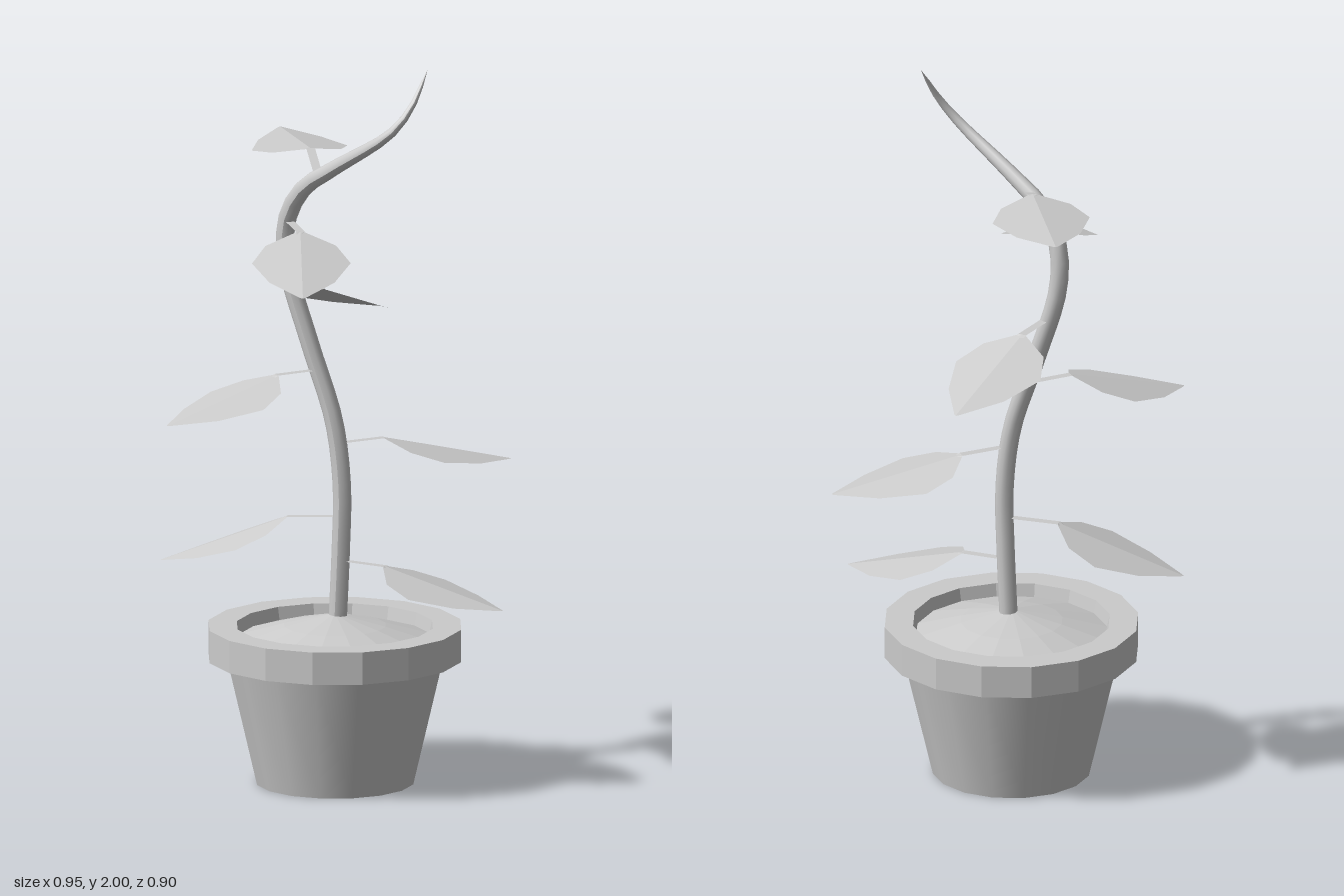
import * as THREE from 'three';

const smooth = new THREE.MeshStandardMaterial({ color: 0xcccccc });
const flat = new THREE.MeshStandardMaterial({ color: 0xcccccc, flatShading: true });
const thin = new THREE.MeshStandardMaterial({ color: 0xcccccc, flatShading: true, side: THREE.DoubleSide });
const SIDES = 16;

function add(parent, name, geometry, material) {
  const mesh = new THREE.Mesh(geometry, material);
  mesh.name = name;
  parent.add(mesh);
  return mesh;
}

const lathe = (pairs) =>
  new THREE.LatheGeometry(pairs.map(([r, y]) => new THREE.Vector2(r, y)), SIDES, Math.PI / SIDES);

// Tapered pot with a heavy faceted rim and a low mound of soil
function createPot() {
  const pot = new THREE.Group();
  pot.name = 'pot';
  pot.position.set(-0.015, 0, 0.026);
  add(pot, 'potBody', lathe([[0.216, 0], [0.297, 0.345]]), smooth);
  const base = add(pot, 'potBottom', new THREE.CircleGeometry(0.216, SIDES, Math.PI / SIDES), smooth);
  base.rotation.x = Math.PI / 2;
  add(pot, 'rim', lathe([[0.25, 0.345], [0.348, 0.345], [0.348, 0.435], [0.27, 0.435], [0.258, 0.38]]), flat);
  add(pot, 'soil', lathe([[0.268, 0.398], [0.14, 0.435], [0, 0.468]]), flat);
  return pot;
}

const stemCurve = new THREE.CatmullRomCurve3([
  [-0.01, 0.43, 0.02], [0, 0.65, 0.02], [0.003, 0.82, 0.02], [-0.02, 1.0, 0.02], [-0.09, 1.21, 0.02],
  [-0.157, 1.43, 0.02], [-0.155, 1.55, 0.025], [-0.1, 1.645, 0.045], [0, 1.715, 0.07],
  [0.18, 1.835, 0.1], [0.228, 1.905, 0.075], [0.253, 2.0, 0.02],
].map((p) => new THREE.Vector3(...p)));

// Round stem, thinning to a point over its last third
function createStem() {
  const segments = 36, radial = 10;
  const geometry = new THREE.TubeGeometry(stemCurve, segments, 0.025, radial);
  const pos = geometry.attributes.position;
  const v = new THREE.Vector3();
  for (let i = 0; i <= segments; i++) {
    const t = i / segments;
    const taper = t < 0.68 ? 1 : Math.pow((1 - t) / 0.32, 0.6);
    const center = stemCurve.getPointAt(t);
    for (let j = 0; j <= radial; j++) {
      const k = i * (radial + 1) + j;
      v.fromBufferAttribute(pos, k).sub(center).multiplyScalar(taper).add(center);
      pos.setXYZ(k, v.x, v.y, v.z);
    }
  }
  geometry.computeVertexNormals();
  return geometry;
}

// Folded strip: each station is [center, half width, droop of the edges]
function strip(stations, across) {
  const points = [], index = [];
  for (const [c, w, droop] of stations) {
    for (const s of [-1, 0, 1]) {
      const p = c.clone().addScaledVector(across, s * w);
      p.y -= Math.abs(s) * droop;
      points.push(p);
    }
  }
  for (let i = 0; i < stations.length - 1; i++) {
    for (let s = 0; s < 2; s++) {
      const a = i * 3 + s;
      index.push(a, a + 1, a + 3, a + 1, a + 4, a + 3);
    }
  }
  const geometry = new THREE.BufferGeometry().setFromPoints(points);
  geometry.setIndex(index);
  geometry.computeVertexNormals();
  return geometry;
}

// Leaf outline as [distance along the midrib, half width]
const OUTLINE = [[0, 0.012], [0.13, 0.096], [0.36, 0.134], [0.69, 0.088], [0.98, 0.009], [1, 0.002]];

function createLeaf(root, base, tip) {
  const leaf = new THREE.Group();
  leaf.name = 'leaf';
  const [r, b, t] = [root, base, tip].map((p) => new THREE.Vector3(...p));
  const sideways = (from, to) => new THREE.Vector3(to.z - from.z, 0, from.x - to.x).normalize();
  const blade = OUTLINE.map(([k, w]) => [b.clone().lerp(t, k), w, w * 0.16]);
  add(leaf, 'blade', strip(blade, sideways(b, t)), thin);
  const inner = b.clone().lerp(t, 0.04);
  add(leaf, 'leafStalk', strip([[r, 0.012, 0], [b, 0.012, 0], [inner, 0.01, 0.003]], sideways(r, b)), thin);
  return leaf;
}

// Where each leaf leaves the stem, where its blade starts, and its tip
const LEAVES = [
  [[0, 0.615, 0.02], [0.13, 0.61, 0.025], [0.475, 0.515, 0.03]],
  [[0, 0.737, 0.02], [-0.145, 0.732, 0.05], [-0.478, 0.602, 0.137]],
  [[0, 0.942, 0.02], [0.085, 0.942, -0.083], [0.367, 0.86, -0.308]],
  [[-0.065, 1.14, 0.02], [-0.147, 1.14, 0.124], [-0.355, 1.04, 0.405]],
  [[-0.125, 1.337, 0.02], [-0.11, 1.335, -0.11], [-0.07, 1.217, -0.453]],
  [[-0.155, 1.55, 0.02], [-0.075, 1.545, 0.129], [0.057, 1.437, 0.448]],
  [[-0.055, 1.685, 0.045], [-0.122, 1.732, -0.067], [-0.323, 1.716, -0.353]],
];

export function createModel() {
  const model = new THREE.Group();
  model.name = 'pottedPlant';
  model.add(createPot());
  add(model, 'stem', createStem(), smooth);
  for (const [root, base, tip] of LEAVES) model.add(createLeaf(root, base, tip));
  return model;
}
